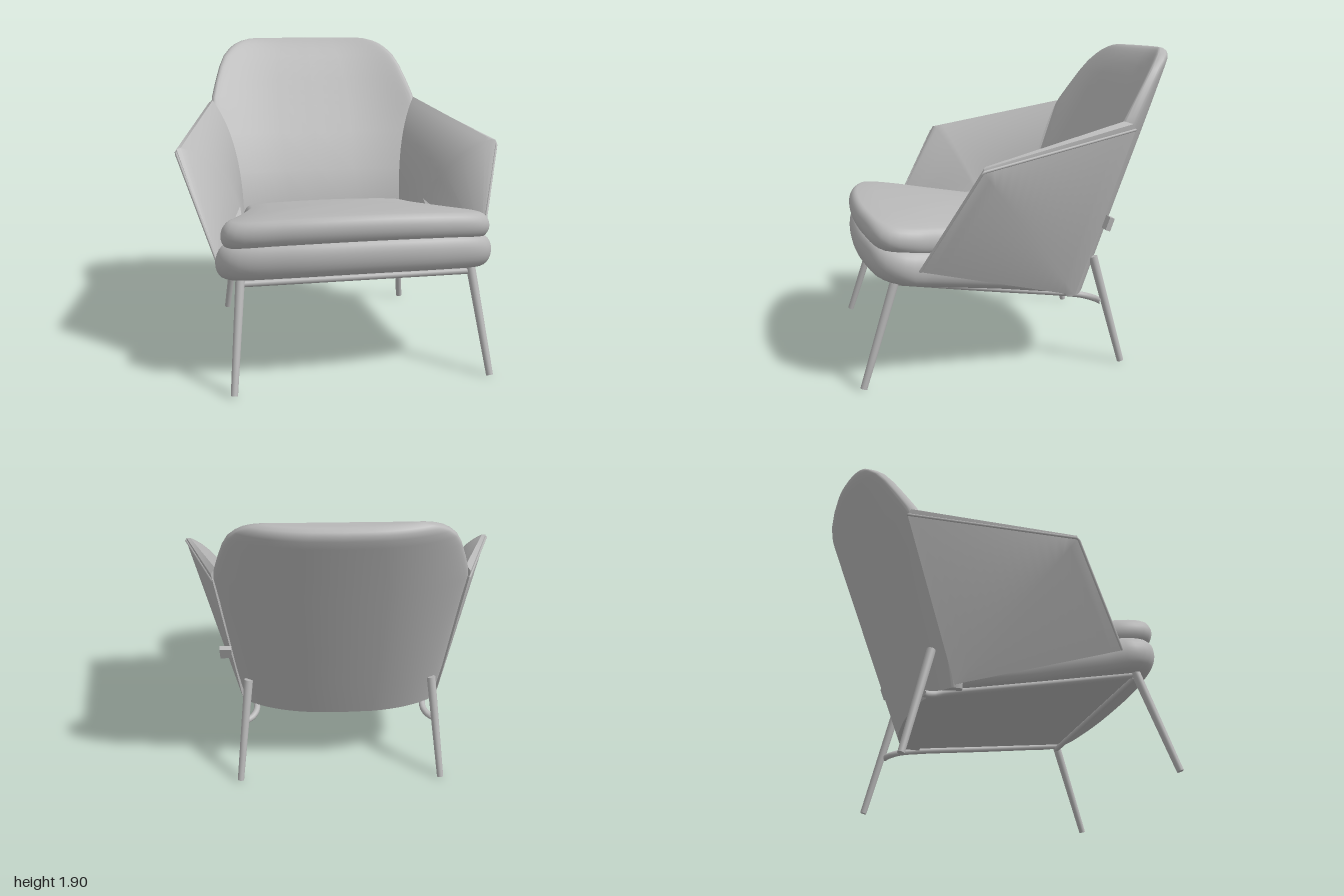
import * as THREE from 'three';
import { toCreasedNormals } from 'three/addons/utils/BufferGeometryUtils.js';

const V = (x, y, z) => new THREE.Vector3(x, y, z);
const mix = THREE.MathUtils.lerp;
const fabric = new THREE.MeshStandardMaterial({ color: 0xb8b8b8 });
fabric.name = 'soft grey';

function mesh(name, geometry) {
  const m = new THREE.Mesh(geometry, fabric);
  m.name = name;
  return m;
}

// Skins closed rings of points, caps both ends and turns the faces outward
function loft(rings, crease = 0.7) {
  const n = rings[0].length, pts = rings.flat(), tris = [];
  for (let i = 0; i < rings.length - 1; i++) {
    for (let j = 0; j < n; j++) {
      const a = i * n + j, b = i * n + (j + 1) % n;
      tris.push([a, b, b + n], [a, b + n, a + n]);
    }
  }
  const last = (rings.length - 1) * n;
  for (let j = 1; j < n - 1; j++) {
    tris.push([0, j + 1, j], [last, last + j, last + j + 1]);
  }
  let volume = 0;
  for (const [a, b, c] of tris) volume += pts[a].dot(pts[b].clone().cross(pts[c]));
  if (volume < 0) tris.forEach(t => t.reverse());
  const geo = new THREE.BufferGeometry().setFromPoints(pts);
  geo.setIndex(tris.flat());
  return toCreasedNormals(geo, crease);
}

// Rounded cushion from half of a plan outline [x, z], running back to front
function cushion(half, { y, tilt, h, crown, inset }) {
  const mirrored = half.slice(1, -1).reverse().map(([x, z]) => [-x, z]);
  const curve = new THREE.CatmullRomCurve3(
    [...half, ...mirrored].map(([x, z]) => V(x, 0, z)), true);
  const outline = curve.getSpacedPoints(96).slice(0, -1);
  const profile = [[0, -1], [0.5, -1]];
  for (let i = 0; i <= 12; i++) {
    const a = (i / 12 - 0.5) * Math.PI;
    profile.push([1 - inset * (1 - Math.cos(a)), Math.sin(a)]);
  }
  profile.push([0.75, 1], [0.5, 1], [0.25, 1], [0, 1]);
  const cz = 0.33;
  return loft(profile.map(([s, k]) => outline.map(p => {
    const x = p.x * s, z = cz + (p.z - cz) * s;
    const lift = crown * (k > 0 ? 1 - s * s : 0) - crown * (x / 0.78) ** 2;
    return V(x, y + tilt * (z - 1) + h * k + lift, z);
  })), 1.2);
}

// Leaning backrest: horizontal sections, bowed in plan, rolled over at the top
function backrest() {
  const rows = [[0.42, 0.60], [0.7, 0.65], [1, 0.68], [1.25, 0.70], [1.43, 0.72], [1.5, 0.71],
    [1.6, 0.68], [1.7, 0.645], [1.77, 0.61], [1.82, 0.565], [1.85, 0.525], [1.87, 0.48],
    [1.885, 0.42], [1.89, 0.37]];
  const roll = (y, from) => Math.sqrt(Math.max(0, 1 - Math.max(0, (y - from) / (1.89 - from)) ** 2));
  const pow = v => Math.sign(v) * Math.abs(v) ** 0.4;
  return loft(rows.map(([y, w]) => {
    const ring = [];
    for (let j = 0; j < 96; j++) {
      const a = j / 96 * Math.PI * 2;
      const x = w * pow(Math.cos(a)), side = pow(Math.sin(a)), ax = Math.abs(x) / 0.72;
      const outer = -1 + 0.367 * (1.88 - y) + 0.21 * ax ** 2.5;
      const inner = Math.min(-0.29, -0.29 - 0.54 * (y - 0.84)) + 0.12 * ax ** 3;
      const top = outer + 0.08;
      const zo = mix(top, outer, roll(y, 1.82)), zi = mix(top, inner, roll(y, 1.70));
      ring.push(V(x, y, (zo + zi) / 2 + side * (zi - zo) / 2));
    }
    return ring;
  }), 1.0);
}

// Corners of the folded outer arm panel
const backTop = V(0.72, 1.43, -0.62), frontTop = V(0.995, 1.26, 0.33);
const frontLow = V(0.795, 0.68, 0.65), backLow = V(0.62, 0.43, -0.30);

// Wedge-shaped arm: flat folded outside, hollow inside, broad front face
function arm() {
  const between = (a, b, s) => a.clone().lerp(b, s);
  const rings = [];
  for (let i = 0; i <= 16; i++) {
    const s = i / 16;
    const ring = [
      between(backLow, frontLow, s),
      between(backLow, frontTop, s),
      between(backTop, frontTop, s),
      between(V(0.73, 1.465, -0.60), V(0.99, 1.28, 0.325), s),
    ];
    const inside = new THREE.QuadraticBezierCurve3(
      between(V(0.71, 1.48, -0.55), V(0.965, 1.285, 0.315), s),
      between(V(0.55, 1.25, -0.38), V(0.74, 1.21, 0.26), s),
      between(V(0.54, 0.80, -0.28), V(0.60, 0.87, 0.08), s));
    ring.push(...inside.getPoints(12), between(V(0.5, 0.5, -0.2), V(0.6, 0.7, 0.4), s));
    rings.push(ring);
  }
  return loft(rings, 0.6);
}

function rod(name, a, b, rTop, rBottom) {
  const dir = b.clone().sub(a);
  const m = mesh(name, new THREE.CylinderGeometry(rTop, rBottom, dir.length(), 20));
  m.position.copy(a).addScaledVector(dir, 0.5);
  m.quaternion.setFromUnitVectors(V(0, 1, 0), dir.normalize());
  return m;
}

export function createModel() {
  const chair = new THREE.Group();
  chair.name = 'armchair';

  chair.add(mesh('backrest', backrest()));
  chair.add(mesh('seatBase', cushion(
    [[0, -0.44], [0.4, -0.40], [0.58, -0.31], [0.69, 0.2], [0.78, 0.6], [0.81, 0.73],
      [0.75, 0.87], [0.45, 0.96], [0, 0.99]],
    { y: 0.75, tilt: 0.165, h: 0.1, crown: 0.015, inset: 0.09 })));
  chair.add(mesh('seatCushion', cushion(
    [[0, -0.29], [0.3, -0.29], [0.5, -0.285], [0.54, -0.25], [0.565, 0], [0.62, 0.22],
      [0.70, 0.48], [0.775, 0.70], [0.75, 0.86], [0.45, 0.955], [0, 0.99]],
    { y: 0.905, tilt: 0.13, h: 0.075, crown: 0.03, inset: 0.08 })));

  // Arms with piping along their outer edge
  const armGeo = arm();
  const piping = new THREE.CatmullRomCurve3(
    [backTop, frontTop, frontLow], false, 'catmullrom', 0);
  const pipingGeo = new THREE.TubeGeometry(piping, 80, 0.008, 8);

  // Side rail slopes back under the seat and bends out to the rear leg
  const rail = new THREE.CatmullRomCurve3([V(0.665, 0.595, 0.78), V(0.60, 0.505, 0.25),
    V(0.535, 0.415, -0.30), V(0.53, 0.395, -0.39), V(0.56, 0.38, -0.45), V(0.597, 0.372, -0.475)]);
  const railGeo = new THREE.TubeGeometry(rail, 48, 0.02, 12);

  for (const side of [1, -1]) {
    const half = new THREE.Group();
    half.name = side > 0 ? 'leftSide' : 'rightSide';
    half.scale.x = side;
    half.add(
      mesh('arm', armGeo),
      mesh('armPiping', pipingGeo),
      mesh('sideRail', railGeo),
      rod('frontLeg', V(0.74, 0, 0.975), V(0.675, 0.62, 0.775), 0.027, 0.02),
      rod('rearLeg', V(0.637, 0, -0.59), V(0.567, 0.65, -0.425), 0.027, 0.02));
    chair.add(half);
  }
  chair.add(rod('frontRail', V(-0.67, 0.575, 0.78), V(0.67, 0.575, 0.78), 0.018, 0.018));

  // Small fabric tab in the left side seam
  const tab = mesh('seamTab', new THREE.BoxGeometry(0.07, 0.08, 0.03));
  tab.position.set(0.69, 0.88, -0.475);
  tab.rotation.x = -0.35;
  chair.add(tab);

  return chair;
}
